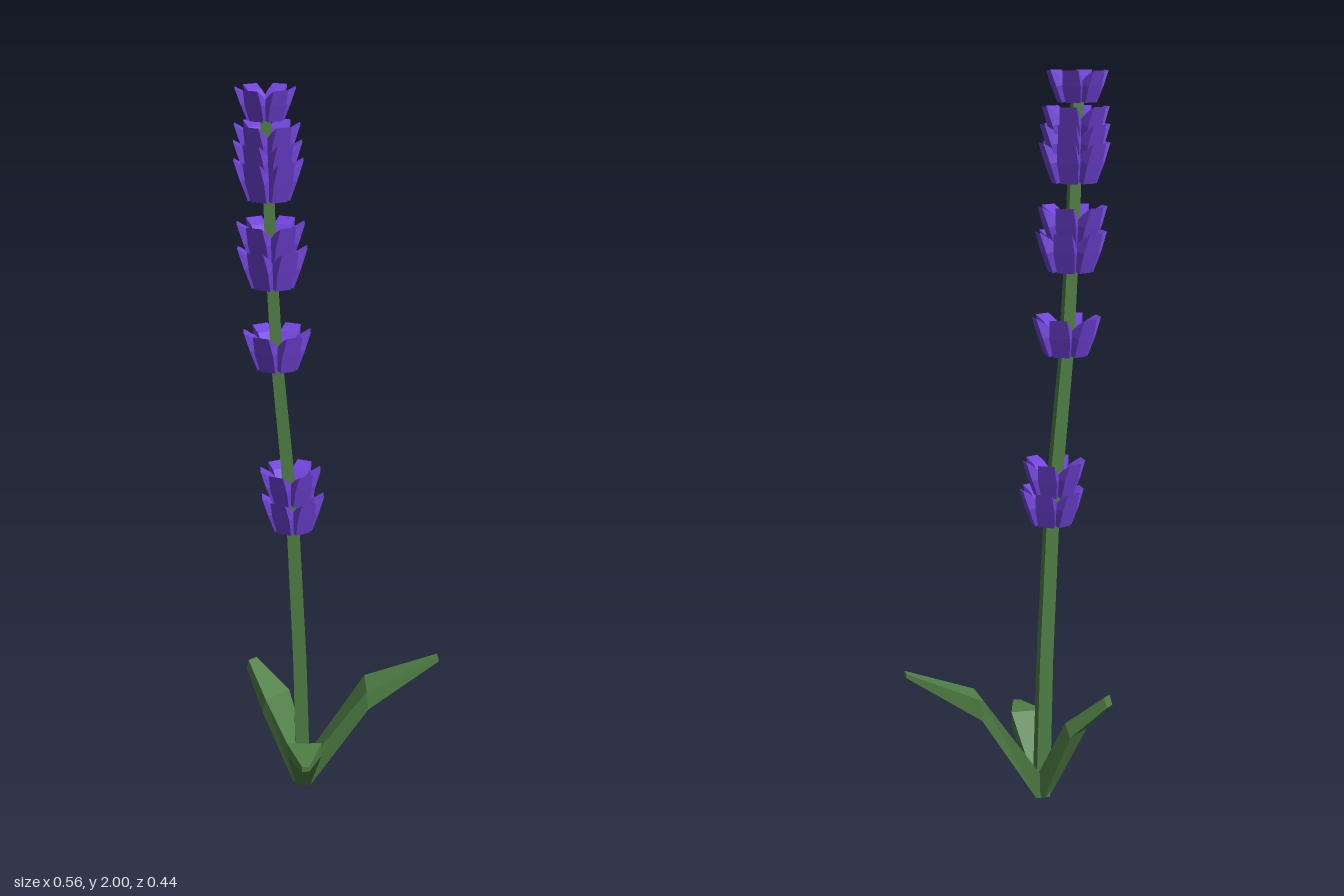
import * as THREE from 'three';

// Four-sided loft along +x/+y: each section is [outerX, outerY, innerX, innerY, halfWidth, zOffset]
function loft(sections) {
  const rings = sections.map(([ox, oy, ix, iy, w, z = 0]) => [
    [ox, oy, z + w], [ox, oy, z - w], [ix, iy, z - w], [ix, iy, z + w],
  ]);
  const pos = [];
  const quad = (a, b, c, d) => pos.push(...a, ...b, ...c, ...a, ...c, ...d);
  for (let s = 0; s < rings.length - 1; s++) {
    const p = rings[s], q = rings[s + 1];
    for (let i = 0; i < 4; i++) {
      const j = (i + 1) % 4;
      quad(p[i], p[j], q[j], q[i]);
    }
  }
  const first = rings[0], last = rings[rings.length - 1];
  quad(first[3], first[2], first[1], first[0]);
  quad(last[0], last[1], last[2], last[3]);
  const geo = new THREE.BufferGeometry();
  geo.setAttribute('position', new THREE.Float32BufferAttribute(pos, 3));
  geo.computeVertexNormals();
  return geo;
}

// Centre line of the leaning stem: [y, x, z]
const STEM = [
  [0, -0.108, -0.056], [0.4, -0.116, -0.057], [0.8, -0.132, -0.059], [1.25, -0.17, -0.061],
  [1.55, -0.184, -0.064], [1.8, -0.19, -0.066], [1.95, -0.195, -0.066],
];

function stemAt(y) {
  let i = 0;
  while (i < STEM.length - 2 && y > STEM[i + 1][0]) i++;
  const [y0, x0, z0] = STEM[i], [y1, x1, z1] = STEM[i + 1];
  const t = (y - y0) / (y1 - y0);
  return new THREE.Vector3(x0 + (x1 - x0) * t, y, z0 + (z1 - z0) * t);
}

export function createModel() {
  const green = new THREE.MeshStandardMaterial({ color: 0x4f7f45 });
  green.name = 'leaf green';
  const purple = new THREE.MeshStandardMaterial({ color: 0x7143da });
  purple.name = 'petal purple';

  const model = new THREE.Group();
  model.name = 'flowerStalk';
  const add = (parent, geo, mat, name) => {
    const mesh = new THREE.Mesh(geo, mat);
    mesh.name = name;
    parent.add(mesh);
    return mesh;
  };

  // Square stem, slightly thinner toward the top
  add(model, loft(STEM.map(([y, x, z]) => {
    const h = 0.02 - 0.003 * y;
    return [x + h, y, x - h, y, h, z];
  })), green, 'stem');

  // Leaves: narrow base, wide bend, blunt tip
  const leaves = [
    ['leftLeaf', 0, [[0.185, 0.255, 0.18, 0.31, 0.057], [0.388, 0.382, 0.386, 0.392, 0.016]]],
    ['frontLeaf', -Math.PI / 2, [[0.147, 0.158, 0.147, 0.198, 0.048], [0.273, 0.175, 0.273, 0.19, 0.01]]],
    ['backLeaf', Math.PI * 0.745, [[0.118, 0.205, 0.102, 0.245, 0.048], [0.214, 0.3, 0.205, 0.328, 0.016]]],
  ];
  for (const [name, angle, ends] of leaves) {
    const leaf = add(model, loft([[0.02, 0, -0.02, 0.03, 0.02], ...ends]), green, name);
    leaf.position.set(-0.108, 0, -0.056);
    leaf.rotation.y = angle;
  }

  // Whorls of six chunky petals bent outward
  const petal = loft([
    [0.054, 0, 0.008, 0.012, 0.023],
    [0.073, 0.052, 0.034, 0.06, 0.028],
    [0.09, 0.104, 0.06, 0.087, 0.024],
  ]);
  const whorls = [
    [0.785, 0.95], [0.866, 0.92], [1.25, 1], [1.475, 1.03], [1.545, 1],
    [1.71, 1.02], [1.76, 1], [1.81, 0.96], [1.92, 0.8],
  ];
  whorls.forEach(([y, size], n) => {
    const whorl = new THREE.Group();
    whorl.name = `flowerWhorl${n + 1}`;
    whorl.position.copy(stemAt(y));
    whorl.scale.set(Math.max(size, 0.88), size, Math.max(size, 0.88));
    for (let k = 0; k < 6; k++) {
      add(whorl, petal, purple, 'petal').rotation.y = (k * Math.PI) / 3;
    }
    model.add(whorl);
  });

  return model;
}
